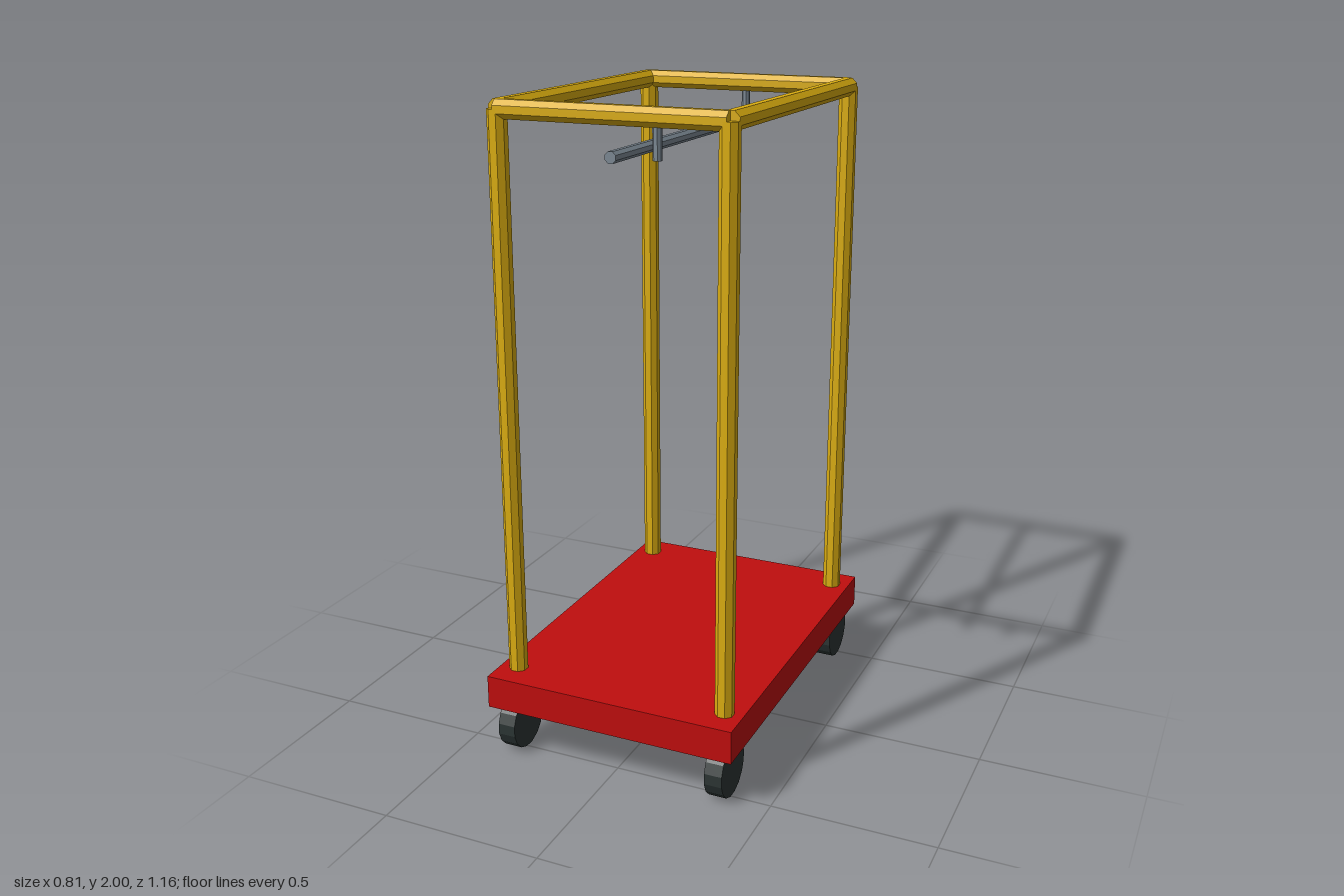
import * as THREE from 'three';

export function createModel() {
  const model = new THREE.Group();
  model.name = 'luggageCart';

  const red = new THREE.MeshStandardMaterial({ color: 0xc00e0e });
  red.name = 'red deck';
  const gold = new THREE.MeshStandardMaterial({ color: 0xdcae10, flatShading: true });
  gold.name = 'gold tube';
  const steel = new THREE.MeshStandardMaterial({ color: 0x7c8994, flatShading: true });
  steel.name = 'grey steel';
  const rubber = new THREE.MeshStandardMaterial({ color: 0x2c3534, flatShading: true });
  rubber.name = 'dark rubber';

  const X = 0.346, Z = 0.487, TOP = 1.973; // frame centre lines
  const DECK_LOW = 0.159, DECK_HIGH = 0.263;
  const ROD_Y = 1.859;

  // Straight prism along an axis, with flats facing the main axes
  function bar(name, axis, apothem, length, sides, material, x, y, z) {
    const r = apothem / Math.cos(Math.PI / sides);
    const geometry = new THREE.CylinderGeometry(r, r, length, sides);
    geometry.rotateY(Math.PI / sides);
    if (axis === 'x') geometry.rotateZ(Math.PI / 2);
    if (axis === 'z') geometry.rotateX(Math.PI / 2);
    const mesh = new THREE.Mesh(geometry, material);
    mesh.name = name;
    mesh.position.set(x, y, z);
    model.add(mesh);
  }

  // Deck
  const deck = new THREE.Mesh(new THREE.BoxGeometry(0.808, DECK_HIGH - DECK_LOW, 1.156), red);
  deck.name = 'deck';
  deck.position.y = (DECK_LOW + DECK_HIGH) / 2;
  model.add(deck);

  // Posts and wheels at the four corners
  const postBase = DECK_HIGH - 0.05;
  for (const sx of [-1, 1]) {
    for (const sz of [-1, 1]) {
      bar('post', 'y', 0.027, TOP - postBase, 8, gold, sx * X, (TOP + postBase) / 2, sz * Z);
      bar('wheel', 'x', 0.0865, 0.056, 16, rubber, sx * X, 0.0865, sz * Z);
    }
  }

  // Top rails, each ending on the corner centre lines
  for (const s of [-1, 1]) {
    bar('sideRail', 'z', 0.027, 2 * Z, 8, gold, s * X, TOP, 0);
    bar('endRail', 'x', 0.027, 2 * X, 8, gold, 0, TOP, s * Z);
  }

  // Hanging rod with its two short drop bars
  bar('hangingRod', 'z', 0.0165, 2 * Z, 8, steel, 0, ROD_Y, 0);
  bar('backHanger', 'y', 0.0125, TOP - ROD_Y, 8, steel, 0, (TOP + ROD_Y) / 2, -Z);
  bar('frontHanger', 'y', 0.0125, TOP - ROD_Y, 8, steel, 0.14, (TOP + ROD_Y) / 2, Z);

  return model;
}
